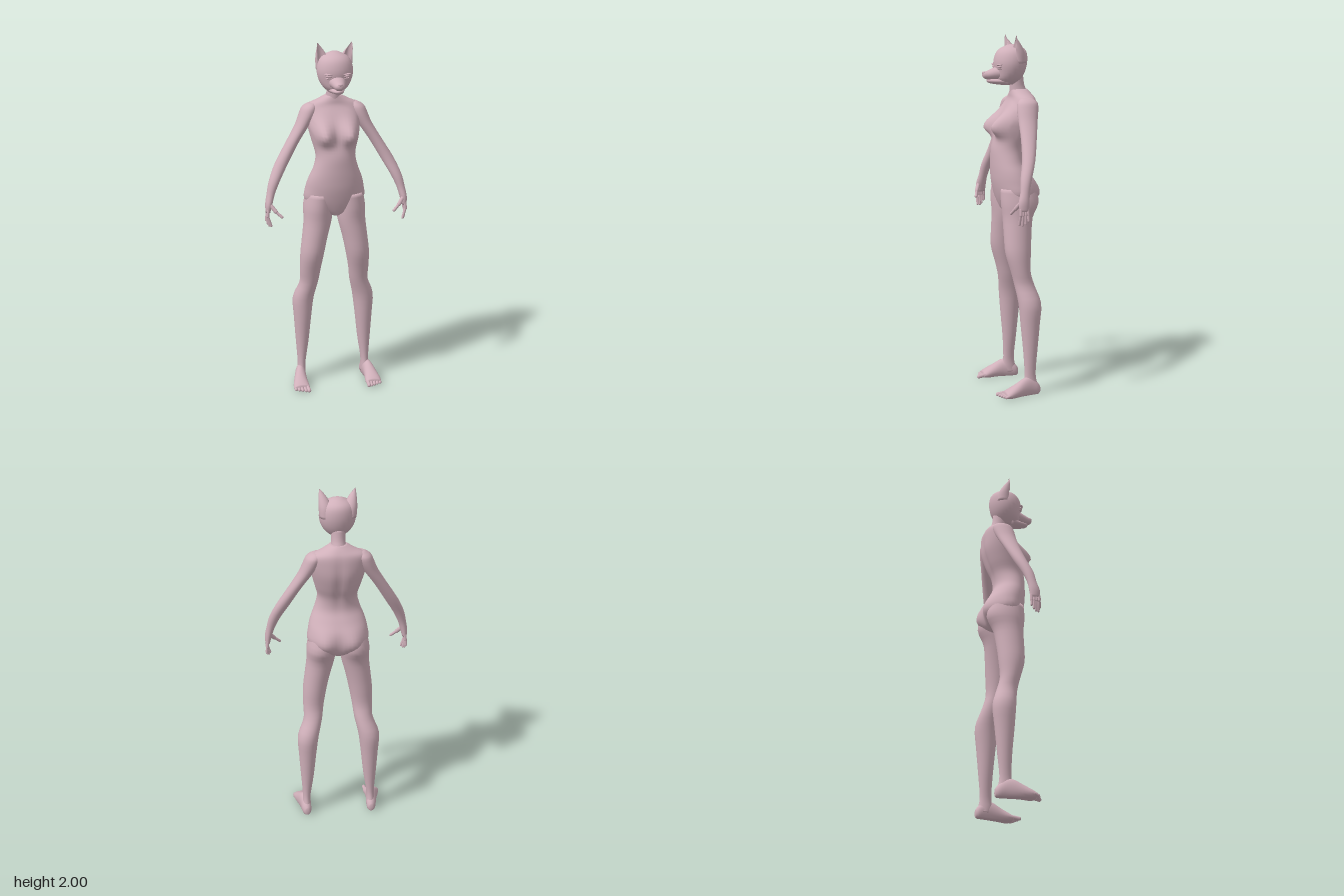
import * as THREE from 'three';

const skin = new THREE.MeshStandardMaterial({ color: 0xd0b0ba });
skin.name = 'dusty pink skin';

// Catmull-Rom blend of cross-sections so that lofts run smoothly
function refine(sections, steps) {
  const out = [], n = sections.length;
  const at = i => sections[Math.min(n - 1, Math.max(0, i))];
  for (let i = 0; i < n - 1; i++) {
    for (let s = 0; s < steps; s++) {
      const t = s / steps;
      out.push(at(i).map((b, k) => {
        const a = at(i - 1)[k], c = at(i + 1)[k], d = at(i + 2)[k];
        return b + 0.5 * t * (c - a + t * (2 * a - 5 * b + 4 * c - d + t * (3 * (b - c) + d - a)));
      }));
    }
  }
  out.push(at(n - 1));
  return out;
}

// Section: [position on axis, centre x, half width, far edge, near edge]
function loft(name, sections, { axis = 'y', side = 1, segs = 24, steps = 3, rule } = {}) {
  const rings = refine(sections, steps), pos = [], index = [];
  const put = (u, v, a) => {
    const p = axis === 'y' ? new THREE.Vector3(u, a, v) : new THREE.Vector3(u, v, a);
    if (rule) rule(p);
    pos.push(p.x, p.y, p.z);
  };
  const tri = (a, b, c) => (axis === 'y' ? index.push(a, c, b) : index.push(a, b, c));
  for (const [a, cx, hw, hi, lo] of rings) {
    for (let j = 0; j < segs; j++) {
      const t = (j / segs) * Math.PI * 2;
      put(side * cx + hw * Math.cos(t), (hi + lo) / 2 + ((hi - lo) / 2) * Math.sin(t), a);
    }
  }
  for (let i = 0; i < rings.length - 1; i++) {
    for (let j = 0; j < segs; j++) {
      const a = i * segs + j, b = i * segs + (j + 1) % segs;
      tri(a, b, b + segs);
      tri(a, b + segs, a + segs);
    }
  }
  // End caps
  const last = (rings.length - 1) * segs, c0 = rings.length * segs;
  for (const r of [rings[0], rings[rings.length - 1]]) put(side * r[1], (r[3] + r[4]) / 2, r[0]);
  for (let j = 0; j < segs; j++) {
    const k = (j + 1) % segs;
    tri(c0, k, j);
    tri(c0 + 1, last + j, last + k);
  }
  const geo = new THREE.BufferGeometry();
  geo.setAttribute('position', new THREE.Float32BufferAttribute(pos, 3));
  geo.setIndex(index);
  geo.computeVertexNormals();
  const mesh = new THREE.Mesh(geo, skin);
  mesh.name = name;
  return mesh;
}

// Rounded finger or toe segment between two points
function digit(name, side, from, to, r) {
  const a = new THREE.Vector3(side * from[0], from[1], from[2]);
  const b = new THREE.Vector3(side * to[0], to[1], to[2]);
  const dir = b.clone().sub(a);
  const mesh = new THREE.Mesh(new THREE.CapsuleGeometry(r, Math.max(0.002, dir.length() - 2 * r), 4, 10), skin);
  mesh.position.copy(a).add(b).multiplyScalar(0.5);
  mesh.quaternion.setFromUnitVectors(new THREE.Vector3(0, 1, 0), dir.normalize());
  mesh.name = name;
  return mesh;
}

function blob(name, x, y, z, sx, sy, sz, tilt = 0) {
  const mesh = new THREE.Mesh(new THREE.SphereGeometry(1, 16, 10), skin);
  mesh.position.set(x, y, z);
  mesh.scale.set(sx, sy, sz);
  mesh.rotation.z = tilt;
  mesh.name = name;
  return mesh;
}

const bump = (d, w) => Math.exp(-(d * d) / (w * w));

export function createModel() {
  const model = new THREE.Group();
  model.name = 'figure';

  // Torso, with chest and hip fullness pushed out by rule
  model.add(loft('torso', [
    [1.035, 0, 0.03, 0.045, -0.08], [1.065, 0, 0.1, 0.06, -0.115], [1.12, 0, 0.168, 0.078, -0.132],
    [1.19, 0, 0.165, 0.094, -0.13], [1.25, 0, 0.15, 0.1, -0.103], [1.31, 0, 0.126, 0.102, -0.077],
    [1.38, 0, 0.111, 0.1, -0.085], [1.45, 0, 0.126, 0.083, -0.115], [1.53, 0, 0.146, 0.066, -0.14],
    [1.6, 0, 0.155, 0.028, -0.144], [1.65, 0, 0.145, 0, -0.14], [1.68, 0, 0.088, -0.005, -0.125],
    [1.705, 0, 0.042, -0.008, -0.105]], {
    segs: 48, steps: 4,
    rule: p => {
      const x = Math.abs(p.x);
      if (p.z > 0) p.z += 0.068 * bump(x - 0.075, 0.048) * bump(p.y - 1.495, p.y > 1.495 ? 0.075 : 0.045);
      else if (p.z < -0.03) {
        p.z -= 0.034 * bump(x - 0.085, 0.06) * bump(p.y - 1.13, 0.07);
        p.z += 0.012 * bump(x, 0.025) * bump(p.y - 1.48, 0.15);
      }
    },
  }));
  model.add(loft('neck', [
    [1.64, 0, 0.06, -0.01, -0.125], [1.69, 0, 0.043, -0.006, -0.105],
    [1.73, 0, 0.038, -0.004, -0.088], [1.79, 0, 0.04, 0, -0.08]]));

  // Head and split muzzle
  const head = new THREE.Group();
  head.name = 'head';
  model.add(head);
  head.add(loft('skull', [
    [1.73, 0, 0.03, 0.05, -0.03], [1.76, 0, 0.066, 0.075, -0.065], [1.8, 0, 0.09, 0.08, -0.088],
    [1.85, 0, 0.1, 0.086, -0.101], [1.9, 0, 0.09, 0.074, -0.1], [1.93, 0, 0.064, 0.047, -0.082],
    [1.95, 0, 0.02, 0, -0.04]]));
  head.add(loft('upperMuzzle', [
    [0.03, 0, 0.06, 1.85, 1.755], [0.08, 0, 0.042, 1.828, 1.758],
    [0.125, 0, 0.029, 1.808, 1.76], [0.146, 0, 0.02, 1.803, 1.768], [0.153, 0, 0.008, 1.797, 1.778]], { axis: 'z' }));
  head.add(loft('lowerJaw', [
    [0.02, 0, 0.05, 1.775, 1.726], [0.08, 0, 0.034, 1.766, 1.733],
    [0.115, 0, 0.022, 1.763, 1.74], [0.128, 0, 0.008, 1.76, 1.748]], { axis: 'z' }));
  head.add(blob('nose', 0, 1.797, 0.146, 0.014, 0.008, 0.009));

  for (const side of [1, -1]) {
    const tag = side > 0 ? 'left' : 'right';
    const part = (name, sections, opts) => loft(tag + name, sections, { side, ...opts });

    // Ear with hollowed front, and eye between two lids
    head.add(part('Ear', [
      [1.85, 0.065, 0.034, 0.005, -0.075], [1.9, 0.067, 0.036, 0.004, -0.07], [1.94, 0.075, 0.027, 0.003, -0.05],
      [1.975, 0.086, 0.013, 0.002, -0.024], [2.0, 0.095, 0.001, 0, -0.004]], {
      rule: p => { if (p.z > -0.012) p.z = -0.012 - (p.z + 0.012) * 0.5 + Math.abs(p.x - side * 0.075) * 0.25; },
    }));
    head.add(blob(tag + 'Eye', side * 0.046, 1.829, 0.069, 0.02, 0.009, 0.012, side * 0.12));
    head.add(blob(tag + 'UpperLid', side * 0.048, 1.84, 0.07, 0.027, 0.005, 0.015, side * 0.12));
    head.add(blob(tag + 'LowerLid', side * 0.045, 1.818, 0.067, 0.021, 0.004, 0.013, side * 0.1));

    // Arm and palm
    model.add(part('Arm', [
      [1.08, 0.387, 0.013, 0.07, 0.018], [1.125, 0.382, 0.02, 0.074, 0.014], [1.18, 0.369, 0.023, 0.06, 0.008],
      [1.25, 0.345, 0.031, 0.05, -0.012], [1.34, 0.3, 0.037, 0.026, -0.046], [1.45, 0.235, 0.036, 0.01, -0.078],
      [1.54, 0.178, 0.04, 0.004, -0.103], [1.6, 0.147, 0.046, 0.002, -0.118], [1.64, 0.132, 0.042, -0.008, -0.118],
      [1.662, 0.118, 0.02, -0.035, -0.09]]));

    // Fingers and thumb
    const tips = [[0.372, 1.0, 0.068], [0.38, 0.998, 0.052], [0.389, 1.006, 0.038], [0.395, 1.022, 0.023]];
    tips.forEach((tip, i) => {
      const root = [0.387, 1.1, 0.064 - i * 0.013], mid = [0.392, 1.052, (root[2] + tip[2]) / 2];
      model.add(digit(tag + 'FingerBase', side, root, mid, 0.0085));
      model.add(digit(tag + 'FingerTip', side, [mid[0], mid[1] + 0.012, mid[2]], tip, 0.007));
    });
    model.add(digit(tag + 'ThumbBase', side, [0.378, 1.128, 0.06], [0.342, 1.082, 0.085], 0.011));
    model.add(digit(tag + 'ThumbTip', side, [0.35, 1.092, 0.08], [0.312, 1.056, 0.097], 0.008));

    // Leg down to the ankle
    model.add(part('Leg', [
      [0.03, 0.19, 0.026, -0.03, -0.112], [0.06, 0.19, 0.025, -0.022, -0.104], [0.12, 0.188, 0.023, -0.03, -0.094],
      [0.25, 0.183, 0.037, -0.024, -0.105], [0.4, 0.18, 0.05, -0.01, -0.119], [0.52, 0.175, 0.06, 0, -0.128],
      [0.62, 0.146, 0.053, 0.015, -0.098], [0.7, 0.14, 0.058, 0.034, -0.077], [0.8, 0.131, 0.067, 0.062, -0.082],
      [0.9, 0.115, 0.072, 0.066, -0.09], [1.0, 0.097, 0.079, 0.067, -0.104], [1.08, 0.093, 0.083, 0.075, -0.14],
      [1.16, 0.085, 0.075, 0.075, -0.125]], { segs: 28 }));

    // Foot with flat sole
    model.add(part('Foot', [
      [-0.119, 0.19, 0.012, 0.045, 0.005], [-0.1, 0.191, 0.026, 0.07, -0.008], [-0.06, 0.196, 0.03, 0.1, -0.012],
      [-0.02, 0.203, 0.033, 0.098, -0.012], [0.03, 0.21, 0.04, 0.07, -0.01], [0.07, 0.212, 0.046, 0.048, -0.008],
      [0.095, 0.21, 0.043, 0.032, 0]], { axis: 'z', rule: p => { p.y = Math.max(p.y, 0); } }));
    for (let i = 0; i < 5; i++) {
      const r = i ? 0.0085 : 0.011, x = 0.178 + i * 0.0178;
      model.add(digit(tag + 'Toe', side, [x + 0.002, 0.022, 0.07], [x - 0.002, r, 0.137 - i * 0.008], r));
    }
  }
  return model;
}
